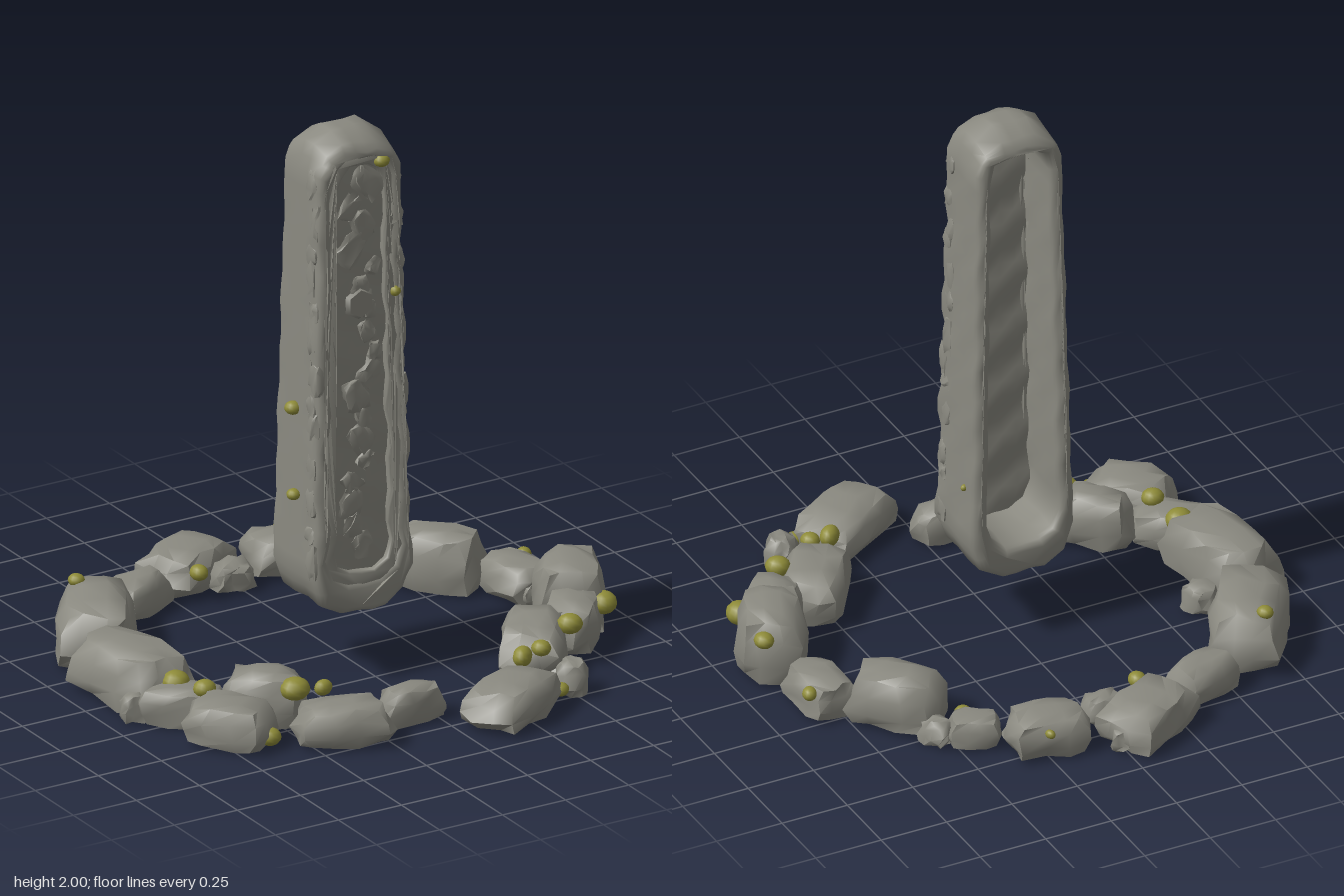
import * as THREE from 'three';
import { toCreasedNormals } from 'three/addons/utils/BufferGeometryUtils.js';

const stoneMat = new THREE.MeshStandardMaterial({ color: 0x8a8980 });
stoneMat.name = 'grey stone';
const mossMat = new THREE.MeshStandardMaterial({ color: 0x8e8b38 });
mossMat.name = 'olive moss';

// Repeatable pseudo-random value in [-1, 1] for a point
function hash(x, y, z, seed) {
  const s = Math.sin(x * 127.1 + y * 311.7 + z * 74.7 + seed * 53.3) * 43758.5453;
  return (s - Math.floor(s)) * 2 - 1;
}

// Move every vertex of a geometry by a rule
function deform(geometry, rule) {
  const p = geometry.attributes.position;
  const v = new THREE.Vector3();
  for (let i = 0; i < p.count; i++) {
    v.fromBufferAttribute(p, i);
    rule(v);
    p.setXYZ(i, v.x, v.y, v.z);
  }
  return geometry;
}

// Irregular worn block: blocky in plan, narrower and rounded towards the top, then jittered
function rockGeometry(len, h, wid, seed, rough) {
  const g = new THREE.BoxGeometry(1, 1, 1, 3, 3, 3);
  deform(g, (v) => {
    const [x, y, z] = v.toArray().map((n) => Math.round(n * 1000) / 1000);
    const max = Math.max(Math.abs(x), Math.abs(y), Math.abs(z));
    const plan = Math.pow(Math.abs(x) ** 5 + Math.abs(z) ** 5, 0.2);
    const norm = Math.pow(plan ** 4 + Math.abs(y) ** 4, 0.25);
    v.multiplyScalar(max / norm * 1.05);
    v.x += hash(x, y, z, seed) * rough;
    v.y += hash(y, z, x, seed + 1) * rough;
    v.z += hash(z, x, y, seed + 2) * rough;
    v.y = THREE.MathUtils.clamp(v.y, -0.5, 0.53);
    const narrow = 1 - 0.2 * (v.y + 0.25);
    v.set(v.x * len * narrow, v.y * h, v.z * wid * narrow);
  });
  return toCreasedNormals(g, 0.95);
}

function add(group, geometry, material, name, x, y, z) {
  const m = new THREE.Mesh(geometry, material);
  m.name = name;
  m.position.set(x, y, z);
  group.add(m);
  return m;
}

// Taper, domed top and weathering shared by all pillar parts
function weather(v, amount) {
  const t = (v.y - 0.24) / 1.76;
  const k = 1.06 - 0.22 * t;
  const { x, y, z } = v;
  const front = z > 0.06 ? 1 : 0.4;
  const dome = THREE.MathUtils.smoothstep(y, 1.88, 2) * 0.06 * (z / 0.15) ** 2;
  v.x = -0.035 + x * k + amount * front * Math.sin(y * 23 + z * 31) * Math.cos(y * 9 + x * 12);
  v.z = 0.09 + z * (1.03 - 0.2 * t) + amount * front * Math.sin(y * 29 + x * 17) * 0.8;
  v.y = y - dome + amount * 0.5 * Math.sin(x * 40 + z * 25);
}

// Closed outline with rounded ends, sampled along its length
function outline(w, low, high, cut, cutX) {
  const quarter = [[0, cut], [cutX * 0.32, cut * 0.32], [cutX, 0]];
  const bottom = quarter.map(([x, y]) => [-w + x, low + y]);
  const top = quarter.map(([x, y]) => [w - x, high - y]);
  const corners = [
    ...bottom, ...bottom.map(([x, y]) => [-x, y]).reverse(),
    ...top, ...top.map(([x, y]) => [-x, y]).reverse(),
  ];
  const pts = [];
  corners.forEach(([x, y], i) => {
    const [x2, y2] = corners[(i + 1) % corners.length];
    const n = Math.max(1, Math.round(Math.hypot(x2 - x, y2 - y) / 0.06));
    for (let k = 0; k < n; k++) {
      pts.push(new THREE.Vector2(x + (x2 - x) * k / n, y + (y2 - y) * k / n));
    }
  });
  return pts;
}

// Bevelled, weathered ring between two outlines, from z = from to z = to
function ringGeometry(outer, inner, from, to, bevel) {
  const shape = new THREE.Shape(outer);
  shape.holes.push(new THREE.Path(inner.reverse()));
  const g = new THREE.ExtrudeGeometry(shape, {
    depth: to - from - 2 * bevel, steps: 3, bevelEnabled: true, bevelThickness: bevel,
    bevelSize: bevel * 0.8, bevelOffset: -bevel * 0.8, bevelSegments: 3,
  });
  g.translate(0, 0, from + bevel);
  deform(g, (v) => weather(v, 0.009));
  return toCreasedNormals(g, 1);
}

function buildPillar() {
  const pillar = new THREE.Group();
  pillar.name = 'floatingPillar';

  // Hollow shell, open along the back
  const shell = ringGeometry(outline(0.187, 0.245, 1.998, 0.14, 0.11),
    outline(0.13, 0.36, 1.915, 0.1, 0.07), -0.15, 0.15, 0.032);
  add(pillar, shell, stoneMat, 'pillarShell', 0, 0, 0);

  // Inner rim around the front panel
  const rim = ringGeometry(outline(0.15, 0.33, 1.93, 0.1, 0.07),
    outline(0.105, 0.39, 1.875, 0.09, 0.06), 0.085, 0.142, 0.012);
  add(pillar, rim, stoneMat, 'panelRim', 0, 0, 0);

  // Front panel closing the shell
  const panel = new THREE.BoxGeometry(0.28, 1.59, 0.035, 5, 30, 1);
  panel.translate(0, 1.14, 0.1);
  deform(panel, (v) => weather(v, 0.009));
  add(pillar, toCreasedNormals(panel, 0.9), stoneMat, 'frontPanel', 0, 0, 0);

  // Low uneven reliefs scattered over the front panel
  for (let i = 0; i < 18; i++) {
    const y = 0.48 + i * 0.078;
    const size = 0.07 + hash(i, 1, 1, 4) * 0.025;
    const x = -0.035 + hash(i, 2, 1, 3) * 0.06;
    const g = rockGeometry(size, size * 1.4, 0.025, i * 7, 0.16);
    const m = add(pillar, g, stoneMat, 'carvedRelief', x, y, 0.209 - i * 0.001);
    m.rotation.z = hash(i, 5, 2, 5) * 0.8;
  }
  const diamond = add(pillar, new THREE.CylinderGeometry(0.05, 0.07, 0.03, 6), stoneMat,
    'carvedBoss', -0.035, 1.37, 0.2);
  diamond.rotation.x = Math.PI / 2;

  // Chipped lumps along the front edges
  for (let i = 0; i < 13; i++) {
    for (const side of [-1, 1]) {
      const y = 0.46 + i * 0.112 + hash(i, side, 4, 1) * 0.035;
      const half = 0.197 - 0.023 * (y - 0.24);
      const g = rockGeometry(0.055, 0.1 + hash(i, 3, side, 2) * 0.05, 0.06, i * 5 + side, 0.1);
      add(pillar, g, stoneMat, 'edgeChip', -0.035 + side * (half - 0.022), y,
        0.19 - 0.012 * (y - 0.24) + hash(side, i, 6, 2) * 0.015);
    }
  }
  return pillar;
}

// Ring blocks: x, z, length, width, turn in degrees, height
const blocks = [
  [-0.13, -0.79, 0.33, 0.24, -28, 0.14], [0.22, -0.72, 0.28, 0.21, 8, 0.14],
  [0.43, -0.59, 0.18, 0.13, 25, 0.11], [0.6, -0.34, 0.32, 0.22, 50, 0.2],
  [0.78, -0.13, 0.27, 0.18, 85, 0.13], [0.81, 0.18, 0.33, 0.23, -62, 0.24],
  [0.71, 0.36, 0.27, 0.19, -50, 0.18], [0.51, 0.44, 0.36, 0.23, -52, 0.17],
  [0.22, 0.78, 0.37, 0.24, -30, 0.14], [-0.09, 0.63, 0.23, 0.13, 0, 0.13],
  [-0.38, 0.66, 0.32, 0.22, 20, 0.14], [-0.52, 0.38, 0.28, 0.18, 42, 0.19],
  [-0.71, 0.47, 0.29, 0.24, 52, 0.15], [-0.76, 0.24, 0.3, 0.17, 40, 0.13],
  [-0.8, -0.03, 0.42, 0.26, 80, 0.2], [-0.69, -0.45, 0.46, 0.26, -58, 0.21],
  [-0.4, -0.66, 0.24, 0.17, -20, 0.13],
];
// Small rubble: x, z, size, height
const rubble = [
  [-0.02, -0.66, 0.14, 0.1], [0.01, -0.86, 0.07, 0.08], [0.54, -0.53, 0.11, 0.09],
  [0.78, -0.01, 0.08, 0.08], [0.5, 0.71, 0.12, 0.12], [-0.64, -0.19, 0.12, 0.1],
  [-0.9, 0.16, 0.09, 0.1],
];
// Moss clumps: x, y, z, radius
const moss = [
  [0.9, 0.18, 0.06, 0.035], [0.85, 0.12, 0.34, 0.05], [0.62, 0.15, 0.5, 0.045],
  [0.36, 0.13, 0.62, 0.045], [0.44, 0.14, 0.61, 0.035], [-0.37, 0.14, 0.52, 0.035],
  [-0.47, 0.15, 0.5, 0.05], [-0.72, 0.14, 0.32, 0.04], [-0.75, 0.12, 0.18, 0.05],
  [0.42, 0.05, 0.77, 0.03], [-0.68, 0.2, -0.59, 0.028], [-0.17, 0.1, -0.63, 0.035],
  [0.43, 0.07, -0.5, 0.03], [0.86, 0.1, -0.2, 0.03], [-0.63, 0.045, 0.6, 0.04],
  [0.26, 0.09, 0.85, 0.035], [0.26, 0.11, -0.82, 0.02],
  [0.05, 1.88, 0.205, 0.03], [0.1, 1.39, 0.21, 0.025], [-0.225, 0.98, 0.08, 0.03],
  [-0.235, 0.67, 0.1, 0.025], [-0.15, 0.29, 0.21, 0.025], [0.155, 0.6, 0.02, 0.015],
];

export function createModel() {
  const model = new THREE.Group();
  model.name = 'stoneCircleWithPillar';
  model.add(buildPillar());

  // Circle of worn stones lying on the ground
  const ring = new THREE.Group();
  ring.name = 'stoneRing';
  blocks.forEach(([x, z, len, wid, deg, h], i) => {
    const m = add(ring, rockGeometry(len, h, wid, i * 3 + 1, 0.06), stoneMat, 'ringStone', x, h / 2, z);
    m.rotation.y = -deg * Math.PI / 180;
  });
  rubble.forEach(([x, z, s, h], i) => {
    const m = add(ring, rockGeometry(s, h, s * 0.85, i * 3 + 90, 0.1), stoneMat, 'rubble', x, h / 2, z);
    m.rotation.y = i;
  });
  model.add(ring);

  // Moss clumps on the stones and pillar
  const clump = new THREE.SphereGeometry(1, 12, 8);
  moss.forEach(([x, y, z, r], i) => {
    const m = add(model, clump, mossMat, 'moss', x, y, z);
    m.scale.set(r, r * 0.8, r * (0.9 + 0.2 * hash(i, 1, 2, 3)));
    m.rotation.y = i * 1.3;
  });
  return model;
}
